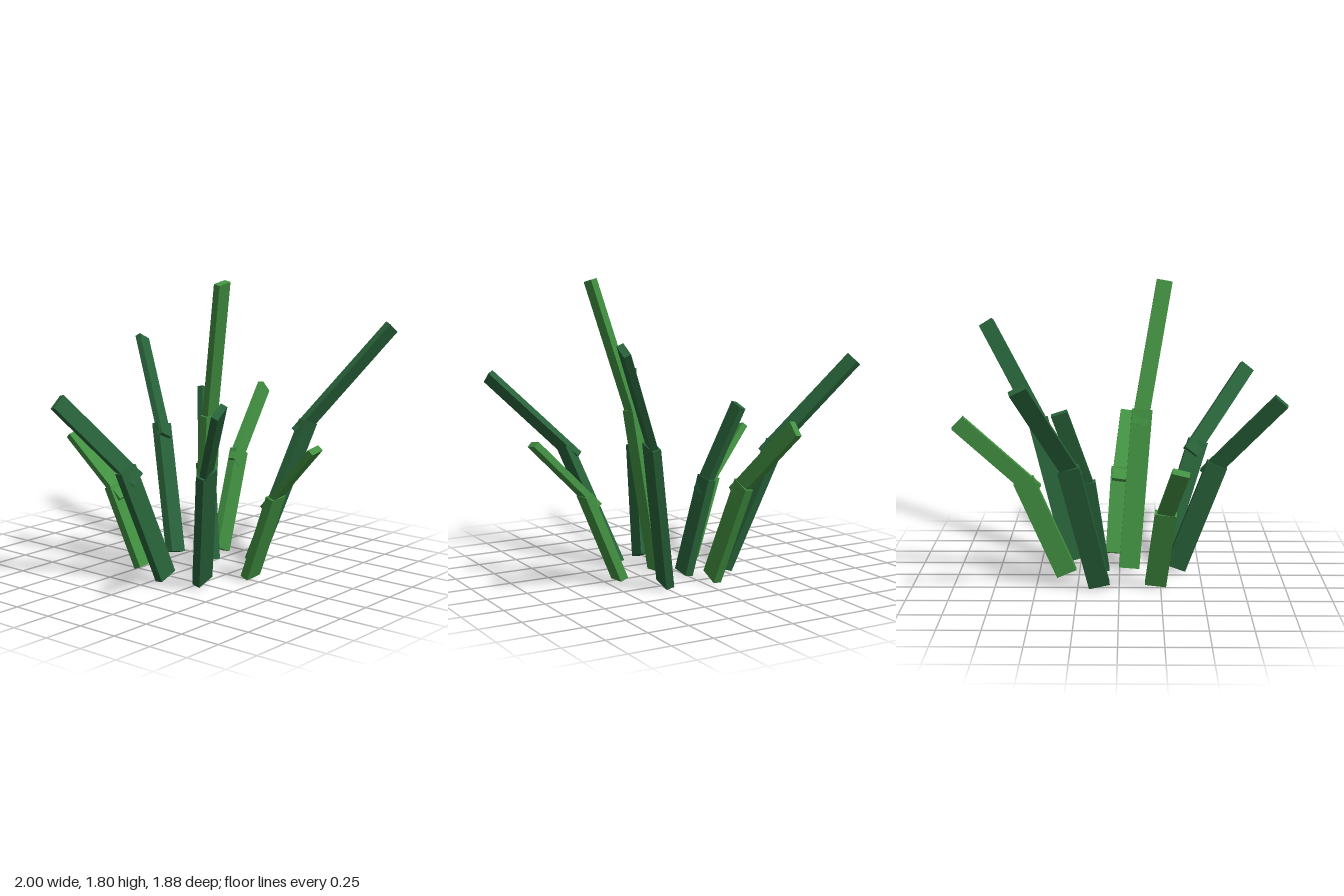
import * as THREE from 'three';

const LIGHT = new THREE.MeshStandardMaterial({ color: 0x429142 });
const DARK = new THREE.MeshStandardMaterial({ color: 0x28633a });

// Each blade: material, centre of root, centre of bend, centre of tip
const BLADES = [
  [DARK, [0.12, 0.02, -0.265], [0.29, 0.80, -0.53], [0.54, 1.315, -0.925]],
  [LIGHT, [-0.22, 0.015, -0.225], [-0.275, 0.505, -0.42], [-0.35, 0.81, -0.695]],
  [DARK, [-0.35, 0.03, 0.065], [-0.595, 0.71, -0.025], [-0.96, 1.13, -0.20]],
  [DARK, [-0.265, 0.025, 0.28], [-0.505, 0.745, 0.51], [-0.845, 1.175, 0.875]],
  [LIGHT, [-0.06, 0.01, 0.11], [-0.14, 1.0, 0.235], [-0.28, 1.785, 0.435]],
  [LIGHT, [0.03, 0.015, 0.41], [-0.005, 0.54, 0.62], [-0.05, 0.86, 0.925]],
  [DARK, [0.125, 0.02, 0.02], [0.21, 0.61, -0.09], [0.355, 1.06, -0.22]],
  [LIGHT, [0.325, 0.03, -0.06], [0.58, 0.63, -0.115], [0.96, 1.0, -0.205]],
  [DARK, [0.285, 0.02, 0.24], [0.53, 0.895, 0.465], [0.89, 1.475, 0.825]],
];

// A bar between two points, its width axis kept in the x-y plane
function bar(name, from, to, width, depth, material) {
  const dir = to.clone().sub(from);
  const mesh = new THREE.Mesh(new THREE.BoxGeometry(width, dir.length(), depth), material);
  const y = dir.normalize();
  const x = new THREE.Vector3(y.y, -y.x, 0).normalize();
  const z = new THREE.Vector3().crossVectors(x, y);
  mesh.quaternion.setFromRotationMatrix(new THREE.Matrix4().makeBasis(x, y, z));
  mesh.position.copy(from).add(to).multiplyScalar(0.5);
  mesh.name = name;
  return mesh;
}

export function createModel() {
  const model = new THREE.Group();
  model.name = 'grassTuft';
  BLADES.forEach(([material, ...points], i) => {
    const [root, bend, tip] = points.map((p) => new THREE.Vector3(...p));
    const blade = new THREE.Group();
    blade.name = `blade${i + 1}`;
    // The upper bar starts a little behind the bend, inside the lower one
    const start = bend.clone().addScaledVector(tip.clone().sub(bend).normalize(), -0.1);
    blade.add(bar('lowerBlade', root, bend, 0.128, 0.052, material));
    blade.add(bar('upperBlade', start, tip, 0.1, 0.04, material));
    model.add(blade);
  });
  return model;
}
